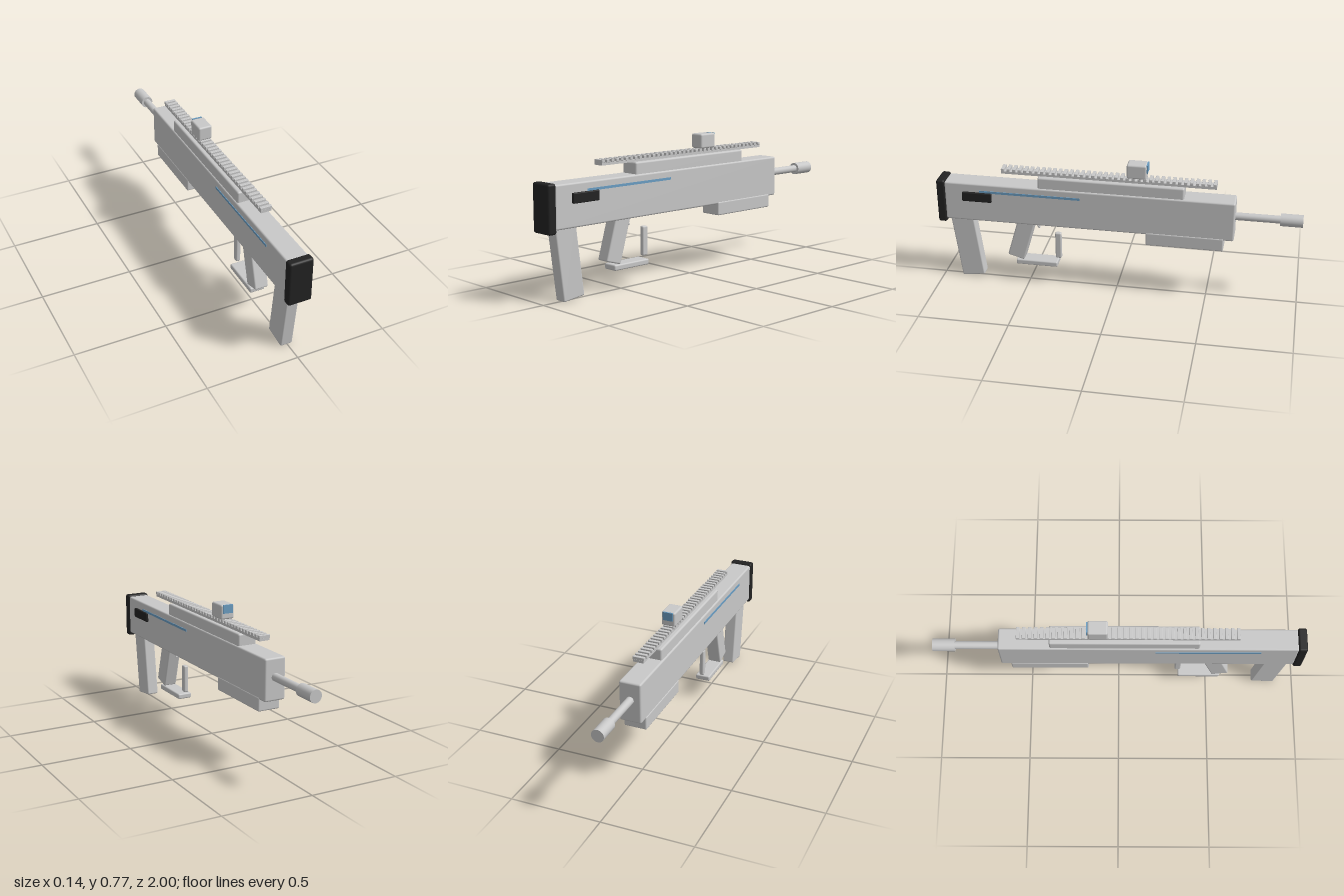
import * as THREE from 'three';
import { RoundedBoxGeometry } from 'three/addons/geometries/RoundedBoxGeometry.js';

const CX = -0.005; // centre line of the body

export function createModel() {
  const model = new THREE.Group();
  model.name = 'model';
  const mat = (name, color) => {
    const m = new THREE.MeshStandardMaterial({ color });
    m.name = name;
    return m;
  };
  const grey = mat('light grey', 0xc8c8c8);
  const black = mat('soft black', 0x222222);
  const blue = mat('steel blue', 0x6b9dc2);

  const add = (name, geometry, material, x, y, z, parent = model) => {
    const mesh = new THREE.Mesh(geometry, material);
    mesh.name = name;
    mesh.position.set(x, y, z);
    parent.add(mesh);
    return mesh;
  };
  // Box given by its width and its y and z limits; r is the edge rounding
  const block = (name, material, width, y0, y1, z0, z1, r = 0, x = CX) => {
    const h = y1 - y0, d = z1 - z0;
    const geometry = r
      ? new RoundedBoxGeometry(width, h, d, 2, r)
      : new THREE.BoxGeometry(width, h, d);
    return add(name, geometry, material, x, (y0 + y1) / 2, (z0 + z1) / 2);
  };

  // Main body, end pad, fore-end and rail riser
  block('body', grey, 0.12, 0.38, 0.605, -0.642, 0.955, 0.01);
  block('endPad', black, 0.131, 0.361, 0.613, 0.951, 1.0, 0.012);
  block('foreEnd', grey, 0.126, 0.316, 0.392, -0.588, -0.165, 0.008);
  block('riser', grey, 0.105, 0.59, 0.668, -0.368, 0.43, 0.01);

  // Slotted top rail
  block('railBase', grey, 0.058, 0.667, 0.681, -0.537, 0.636);
  const teeth = 38, start = -0.528, pitch = (0.627 - start) / (teeth - 1);
  const tooth = new RoundedBoxGeometry(0.063, 0.016, 0.018, 1, 0.002);
  for (let i = 0; i < teeth; i++) {
    add('railTooth', tooth, grey, CX, 0.688, start + i * pitch);
  }

  // Compact sight with its lens
  block('sight', grey, 0.078, 0.696, 0.776, -0.163, -0.056, 0.01);
  block('lens', blue, 0.056, 0.73, 0.776, -0.169, -0.161);

  // Barrel and muzzle
  const rod = (name, radius, z0, z1) => {
    const geometry = new THREE.CylinderGeometry(radius, radius, z1 - z0, 32);
    geometry.rotateX(Math.PI / 2);
    add(name, geometry, grey, CX, 0.506, (z0 + z1) / 2);
  };
  rod('barrel', 0.021, -0.9, -0.63);
  rod('muzzle', 0.034, -1.0, -0.88);

  // Rear leg and hand grip, both leaning boxes hung from the underside
  const leaning = (name, width, length, depth, y, z, angle) => {
    const geometry = new RoundedBoxGeometry(width, length, depth, 2, 0.008);
    add(name, geometry, grey, CX, y, z).rotation.x = angle;
  };
  leaning('rearLeg', 0.068, 0.4, 0.131, 0.213, 0.852, 0.125);
  leaning('handGrip', 0.077, 0.27, 0.096, 0.287, 0.534, -0.285);

  // Guard bar, its post and the curved trigger
  block('guardBar', grey, 0.084, 0.115, 0.146, 0.334, 0.57, 0.008);
  block('guardPost', grey, 0.026, 0.158, 0.317, 0.315, 0.35, 0.008);
  const curve = new THREE.QuadraticBezierCurve3(
    new THREE.Vector3(CX, 0.39, 0.457),
    new THREE.Vector3(CX, 0.362, 0.455),
    new THREE.Vector3(CX, 0.338, 0.437)
  );
  add('trigger', new THREE.TubeGeometry(curve, 8, 0.007, 8), grey, 0, 0, 0);

  // Side port on the left, slim stripe on both sides
  block('sidePort', black, 0.022, 0.503, 0.556, 0.688, 0.853, 0.005, 0.058);
  for (const side of [-1, 1]) {
    block('stripe', blue, 0.006, 0.555, 0.568, 0.195, 0.757, 0, CX + side * 0.06);
  }

  return model;
}
